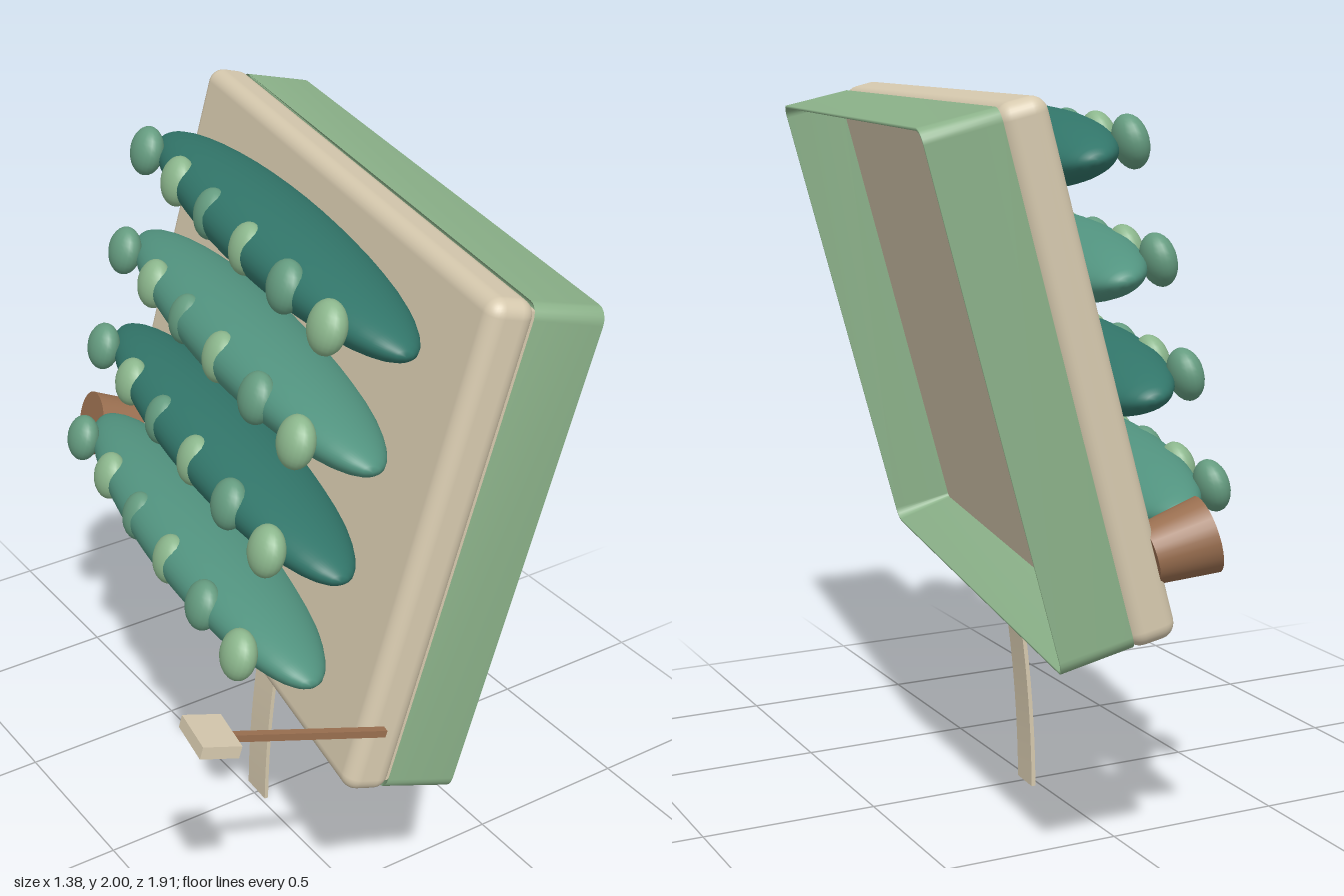
import * as THREE from 'three';
import { RoundedBoxGeometry } from 'three/addons/geometries/RoundedBoxGeometry.js';

const mat = (color, side = THREE.FrontSide) => new THREE.MeshStandardMaterial({ color, side });
const BEIGE = mat(0xd6c9ae), GREEN = mat(0x8ab088, THREE.DoubleSide), BROWN = mat(0x9a6f50);
const PODS = [mat(0x32766a), mat(0x529480)];
const BEADS = [mat(0x8cb78d), mat(0x659c80)];

const HALF_V = 0.6875, HALF_U = 0.8885; // half height and half width of the tray

function add(parent, name, geometry, material, x = 0, y = 0, z = 0) {
  const mesh = new THREE.Mesh(geometry, material);
  mesh.name = name;
  mesh.position.set(x, y, z);
  parent.add(mesh);
  return mesh;
}

// Rim wall: a closed section swept round a rounded rectangle in the YZ plane
function rimGeometry() {
  const section = [[-0.195, 0.004], [0, 0], [0, 0.008], [-0.175, 0.028]]; // depth, inset
  const steps = 5, n = 4 * (steps + 1), pos = [], idx = [];
  for (const [x, inset] of section) {
    const r = Math.max(0.04 - inset, 0.012);
    for (let c = 0; c < 4; c++) {
      const mid = (c + 0.5) * Math.PI / 2;
      const cy = Math.sign(Math.cos(mid)) * (HALF_V - inset - r);
      const cz = Math.sign(Math.sin(mid)) * (HALF_U - inset - r);
      for (let s = 0; s <= steps; s++) {
        const a = (c + s / steps) * Math.PI / 2;
        pos.push(x, cy + r * Math.cos(a), cz + r * Math.sin(a));
      }
    }
  }
  for (let i = 0; i < 4; i++) {
    for (let j = 0; j < n; j++) {
      const a = i * n + j, b = i * n + (j + 1) % n;
      const c = ((i + 1) % 4) * n + j, d = ((i + 1) % 4) * n + (j + 1) % n;
      idx.push(a, b, c, b, d, c);
    }
  }
  const g = new THREE.BufferGeometry();
  g.setAttribute('position', new THREE.Float32BufferAttribute(pos, 3));
  g.setIndex(idx);
  g.computeVertexNormals();
  return g;
}

// Thin strap bent sideways along its height
function strapGeometry() {
  const g = new THREE.BoxGeometry(0.012, 0.63, 0.1, 1, 12, 1);
  const p = g.attributes.position;
  for (let i = 0; i < p.count; i++) {
    const t = p.getY(i) / 0.63 + 0.5;
    p.setX(i, p.getX(i) + 0.05 * t * t);
    p.setZ(i, p.getZ(i) + 0.01 * t);
  }
  g.computeVertexNormals();
  return g;
}

export function createModel() {
  const model = new THREE.Group();
  model.name = 'trayModel';

  // Leaning tray: local x is the open side, y its height, z its width
  const tray = new THREE.Group();
  tray.name = 'tray';
  tray.position.set(0.36, 1.265, 0.045);
  tray.rotation.set(0, THREE.MathUtils.degToRad(-10), THREE.MathUtils.degToRad(-14.6), 'YXZ');
  model.add(tray);

  add(tray, 'backSlab', new RoundedBoxGeometry(0.13, 2 * HALF_V, 2 * HALF_U, 4, 0.042), BEIGE, -0.25);
  add(tray, 'rim', rimGeometry(), GREEN);
  add(tray, 'innerPanel', new THREE.BoxGeometry(0.02, 2 * HALF_V - 0.05, 2 * HALF_U - 0.05), BEIGE, -0.183);

  // Four long pods on the back, each with a row of beads
  const podShape = new THREE.SphereGeometry(1, 40, 24).rotateX(Math.PI / 2).scale(0.18, 0.105, 0.77);
  const beadShape = new THREE.SphereGeometry(1, 20, 14).scale(0.045, 0.07, 0.065);
  for (let i = 0; i < 4; i++) {
    const row = new THREE.Group();
    row.name = 'podRow' + (i + 1);
    row.position.y = 0.487 - 0.305 * i;
    tray.add(row);
    add(row, 'pod', podShape, PODS[i % 2], -0.43);
    for (let k = 0; k < 6; k++) {
      add(row, 'bead', beadShape, BEADS[k % 2], -0.57, 0, 0.618 - 0.247 * k);
    }
  }

  // Arm with a small paddle at the lower front corner
  add(tray, 'arm', new THREE.BoxGeometry(0.45, 0.02, 0.02), BROWN, -0.485, -0.487, 0.898);
  add(tray, 'paddle', new THREE.BoxGeometry(0.105, 0.035, 0.14), BEIGE, -0.75, -0.485, 0.897);

  // Tapered knob at the opposite lower corner
  const knob = new THREE.CylinderGeometry(0.1, 0.078, 0.16, 28).rotateZ(Math.PI / 2);
  add(tray, 'knob', knob, BROWN, -0.38, -0.477, -0.825);

  // Curved strap the tray stands on
  const strap = add(model, 'strap', strapGeometry(), BEIGE, 0.02, 0.315, -0.008);
  strap.rotation.y = THREE.MathUtils.degToRad(-3);

  return model;
}
